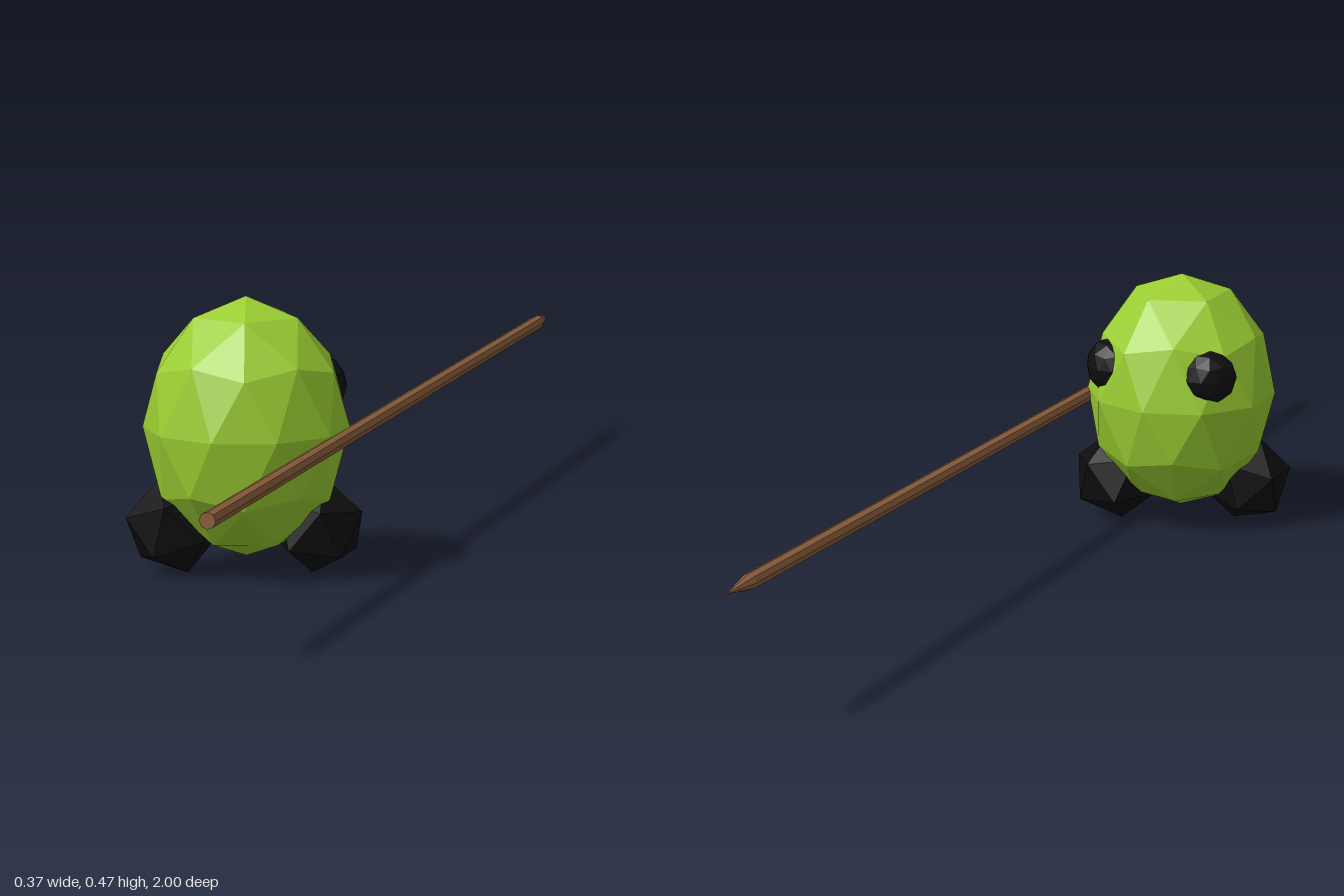
import * as THREE from 'three';

export function createModel() {
  const group = new THREE.Group();
  const material = (name, color) => {
    const m = new THREE.MeshStandardMaterial({ color, flatShading: true });
    m.name = name;
    return m;
  };
  const green = material('leaf green', 0x9acd32);
  const black = material('black', 0x0e0e0e);
  const brown = material('wood brown', 0x8b5e3c);

  const add = (name, geometry, mat, x, y, z) => {
    const mesh = new THREE.Mesh(geometry, mat);
    mesh.name = name;
    mesh.position.set(x, y, z);
    group.add(mesh);
    return mesh;
  };

  // Egg body: a faceted sphere with a corner straight up, stretched in height
  const upright = -Math.atan(2 / (1 + Math.sqrt(5)));
  const ball = new THREE.IcosahedronGeometry(1, 1).rotateZ(upright);
  add('body', ball, green, 0, 0.25, 0.35).scale.set(0.173, 0.22, 0.173);

  // Feet: tumbled twenty-sided lumps
  const lump = new THREE.IcosahedronGeometry(0.083, 0);
  add('rightFoot', lump, black, -0.114, 0.083, 0.395).rotation.z = -0.24;
  add('leftFoot', lump, black, 0.114, 0.083, 0.315).rotation.z = -0.68;

  // Eyes: slightly flattened balls looking out diagonally toward the back
  for (const side of [-1, 1]) {
    const eye = add(side < 0 ? 'rightEye' : 'leftEye', ball, black, side * 0.1, 0.31, 0.25);
    eye.scale.set(0.05, 0.05, 0.04);
    eye.rotation.y = side * -Math.PI / 4;
  }

  // Spear: long shaft with a sharpened tip, rising slightly toward the back
  const spear = new THREE.Group();
  spear.name = 'spear';
  spear.position.set(0.165, 0.228, 1);
  spear.rotation.x = -Math.PI / 2 + 0.011;
  group.add(spear);
  const shaftLength = 1.93, tipLength = 0.07, radius = 0.0135;
  const shaft = new THREE.Mesh(new THREE.CylinderGeometry(radius, radius, shaftLength, 8), brown);
  shaft.name = 'spearShaft';
  shaft.position.y = shaftLength / 2;
  const tip = new THREE.Mesh(new THREE.ConeGeometry(radius, tipLength, 8), brown);
  tip.name = 'spearTip';
  tip.position.y = shaftLength + tipLength / 2;
  spear.add(shaft, tip);

  return group;
}
